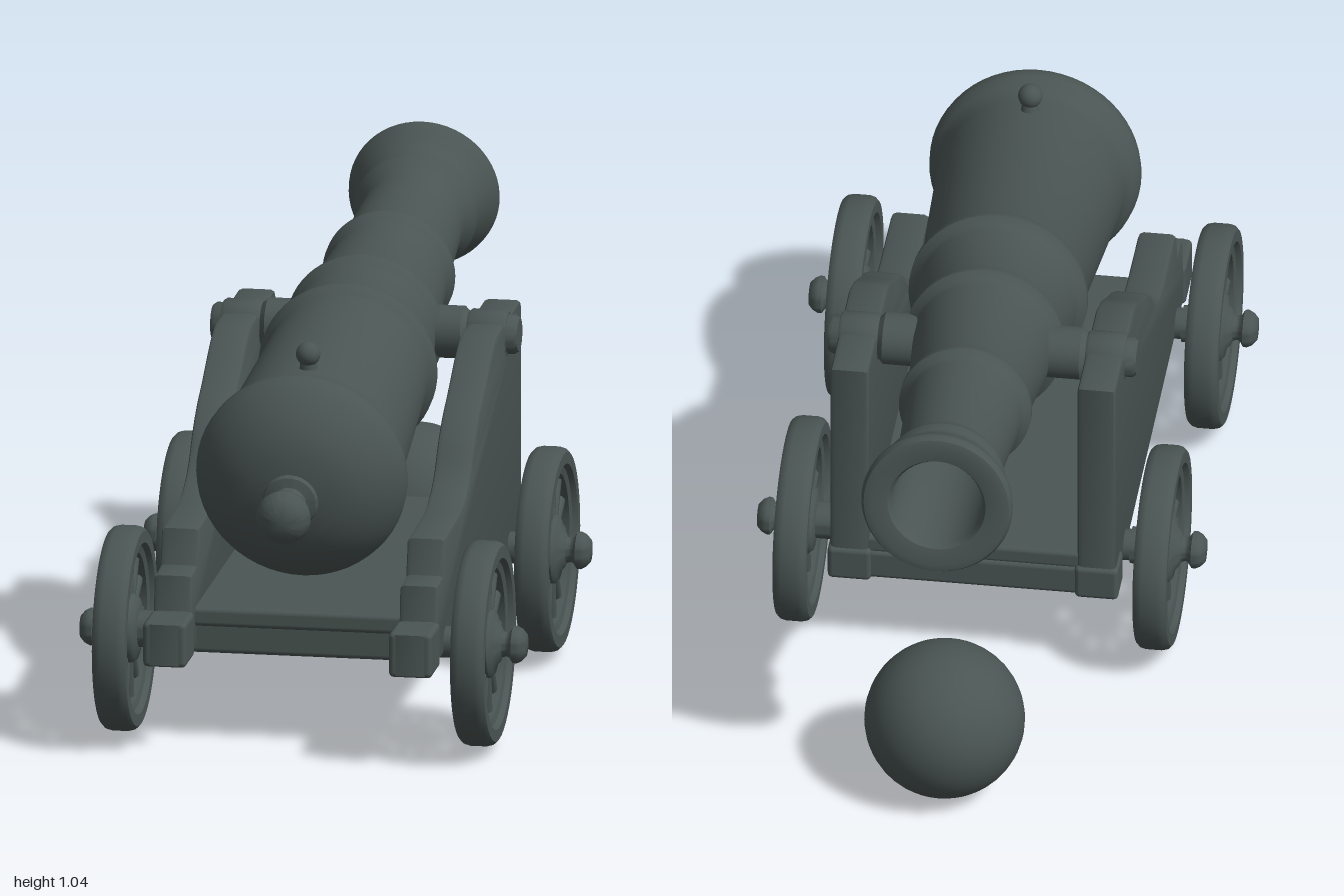
import * as THREE from 'three';
import { toCreasedNormals } from 'three/addons/utils/BufferGeometryUtils.js';
import { RoundedBoxGeometry } from 'three/addons/geometries/RoundedBoxGeometry.js';

const iron = new THREE.MeshStandardMaterial({ color: 0x4a5553 });
iron.name = 'darkIron';

function add(parent, name, geometry, x = 0, y = 0, z = 0) {
  const mesh = new THREE.Mesh(geometry, iron);
  mesh.name = name;
  mesh.position.set(x, y, z);
  parent.add(mesh);
  return mesh;
}

// Turned part from [radius, height] pairs, with soft and sharp edges kept apart
function turned(points, segments = 48) {
  const profile = points.map(([r, h]) => new THREE.Vector2(r, h));
  return toCreasedNormals(new THREE.LatheGeometry(profile, segments), 0.75);
}

function beam(w, h, d) {
  return new RoundedBoxGeometry(w, h, d, 2, 0.012);
}

// Raised band around the barrel
function band(s, before, after, lift) {
  return [[before, s - 0.035], [before + lift * 0.4, s - 0.022], [before + lift, s - 0.01],
    [before + lift, s + 0.008], [after + lift * 0.3, s + 0.022], [after, s + 0.035]];
}

function makeBarrel() {
  const barrel = new THREE.Group();
  barrel.name = 'barrel';
  add(barrel, 'gunTube', turned([
    // knob and neck behind the breech
    [0, -1.005], [0.03, -1.0], [0.053, -0.985], [0.063, -0.96], [0.058, -0.94], [0.036, -0.912],
    [0.033, -0.895], [0.04, -0.88], [0.06, -0.873], [0.064, -0.863], [0.058, -0.853], [0.05, -0.846],
    // domed breech and base ring
    [0.1, -0.838], [0.15, -0.818], [0.195, -0.785], [0.225, -0.75], [0.238, -0.728], [0.242, -0.71],
    [0.24, -0.69], [0.228, -0.672], [0.218, -0.66], [0.214, -0.62],
    // tapering body with three bands
    ...band(-0.08, 0.188, 0.182, 0.016),
    ...band(0.145, 0.168, 0.16, 0.013),
    ...band(0.475, 0.138, 0.132, 0.013),
    // muzzle swell
    [0.118, 0.775], [0.122, 0.8], [0.138, 0.825], [0.142, 0.838], [0.136, 0.853], [0.136, 0.865],
    [0.146, 0.89], [0.16, 0.925], [0.171, 0.94], [0.173, 0.955], [0.166, 0.968], [0.15, 0.972],
    // bore
    [0.112, 0.965], [0.104, 0.95], [0.102, 0.45], [0, 0.45],
  ], 56));
  // sight on a short stalk
  add(barrel, 'sightStalk', new THREE.CylinderGeometry(0.016, 0.024, 0.05, 16).rotateX(Math.PI / 2), 0, -0.585, 0.215);
  add(barrel, 'sightBead', new THREE.SphereGeometry(0.028, 20, 14), 0, -0.585, 0.246);
  barrel.position.y = 0.735;
  barrel.rotation.x = 0.145 - Math.PI / 2;
  return barrel;
}

// Stepped side plate, drawn with u = -z
function cheekGeometry() {
  const shape = new THREE.Shape();
  shape.moveTo(-0.9, 0.225);
  shape.lineTo(0.348, 0.225);
  shape.lineTo(0.348, 0.787);
  shape.lineTo(0.03, 0.787);
  shape.splineThru([[-0.03, 0.765], [-0.14, 0.7], [-0.21, 0.662], [-0.27, 0.615], [-0.33, 0.55],
    [-0.4, 0.512], [-0.48, 0.497]].map(([u, y]) => new THREE.Vector2(u, y)));
  for (const [u, y] of [[-0.68, 0.49], [-0.7, 0.41], [-0.78, 0.405], [-0.79, 0.325], [-0.9, 0.32]]) shape.lineTo(u, y);
  const geometry = new THREE.ExtrudeGeometry(shape, {
    depth: 0.064, curveSegments: 20, bevelThickness: 0.012, bevelSize: 0.012, bevelOffset: -0.012, bevelSegments: 2,
  });
  return toCreasedNormals(geometry.translate(0, 0, -0.032).rotateY(Math.PI / 2), 0.6);
}

function makeCarriage() {
  const carriage = new THREE.Group();
  carriage.name = 'carriage';
  const cheek = cheekGeometry();
  const strap = turned([[0, -0.045], [0.05, -0.045], [0.055, -0.038], [0.055, 0.038], [0.05, 0.045], [0, 0.045]], 28).rotateZ(Math.PI / 2);
  for (const side of [1, -1]) {
    add(carriage, 'cheek', cheek, side * 0.282, 0, 0);
    add(carriage, 'trunnionStrap', strap, side * 0.282, 0.755, -0.165);
    add(carriage, 'frontFoot', beam(0.1, 0.085, 0.09), side * 0.282, 0.25, -0.31);
    add(carriage, 'tailFoot', beam(0.1, 0.105, 0.12), side * 0.282, 0.272, 0.84);
  }
  // trunnion through the barrel, thicker at the shoulders
  add(carriage, 'trunnion', turned([[0, -0.352], [0.038, -0.352], [0.045, -0.343], [0.045, -0.24], [0.06, -0.225],
    [0.06, 0.225], [0.045, 0.24], [0.045, 0.343], [0.038, 0.352], [0, 0.352]], 28).rotateZ(Math.PI / 2), 0, 0.755, -0.165);
  // floor and cross beams
  add(carriage, 'floor', beam(0.5, 0.045, 1.08), 0, 0.3, 0.2);
  add(carriage, 'frontBeam', beam(0.5, 0.075, 0.07), 0, 0.248, -0.31);
  for (const z of [-0.19, 0.672]) {
    add(carriage, 'axleBeam', beam(0.63, 0.075, 0.085), 0, 0.247, z);
    add(carriage, 'axle', new THREE.CylinderGeometry(0.036, 0.036, 0.8, 24).rotateZ(Math.PI / 2), 0, 0.25, z);
  }
  return carriage;
}

// Spoked wheel whose outer face points to +x
function makeWheel() {
  const wheel = new THREE.Group();
  wheel.name = 'wheel';
  const rim = turned([[0.172, -0.022], [0.188, -0.026], [0.195, -0.038], [0.222, -0.038], [0.23, -0.03], [0.233, -0.018],
    [0.233, 0.018], [0.23, 0.03], [0.222, 0.038], [0.195, 0.038], [0.188, 0.026], [0.172, 0.022], [0.172, -0.022]], 48);
  add(wheel, 'rim', rim.rotateZ(-Math.PI / 2));
  const hub = turned([[0, -0.07], [0.042, -0.07], [0.042, -0.035], [0.07, -0.03], [0.078, -0.02], [0.078, 0.02], [0.07, 0.028],
    [0.05, 0.032], [0.042, 0.04], [0.03, 0.046], [0.027, 0.055], [0.03, 0.062], [0.042, 0.07], [0.043, 0.078],
    [0.037, 0.09], [0.026, 0.1], [0, 0.102]], 32);
  add(wheel, 'hub', hub.rotateZ(-Math.PI / 2));
  const count = 14;
  const spokeShape = new THREE.CylinderGeometry(0.015, 0.0165, 0.12, 10).translate(0, 0.122, 0);
  for (let i = 0; i < count; i++) {
    add(wheel, 'spoke', spokeShape).rotation.x = ((i + 0.5) / count) * Math.PI * 2;
  }
  return wheel;
}

export function createModel() {
  const cannon = new THREE.Group();
  cannon.name = 'cannon';
  cannon.add(makeBarrel(), makeCarriage());
  for (const side of [1, -1]) {
    for (const z of [-0.19, 0.672]) {
      const wheel = makeWheel();
      wheel.position.set(side * 0.411, 0.25, z);
      if (side < 0) wheel.rotation.y = Math.PI;
      cannon.add(wheel);
    }
  }
  add(cannon, 'cannonball', new THREE.SphereGeometry(0.182, 40, 28), 0, 0.182, -0.818);
  return cannon;
}
